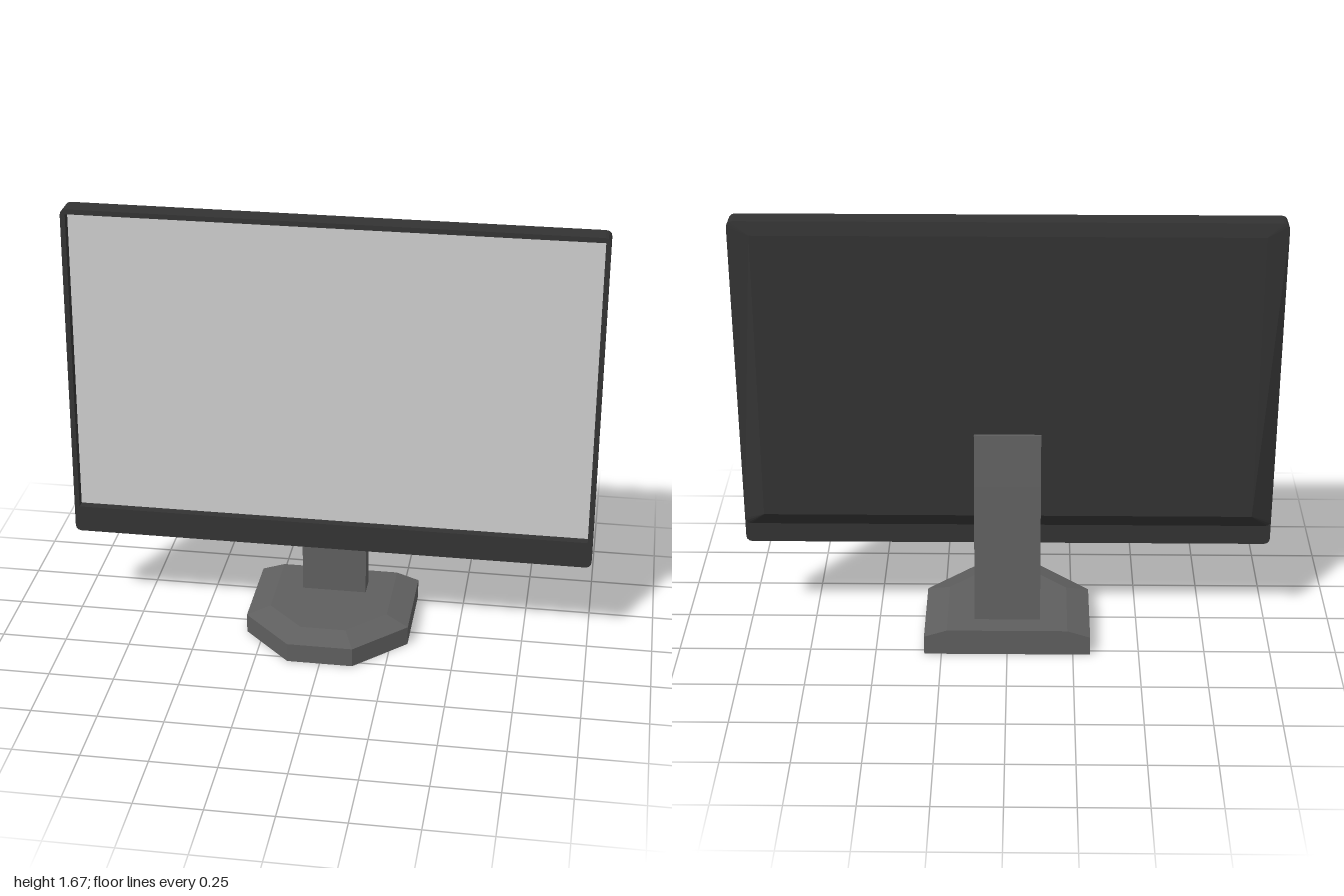
import * as THREE from 'three';

const darkPlastic = new THREE.MeshStandardMaterial({ color: 0x333333, flatShading: true });
const greyPlastic = new THREE.MeshStandardMaterial({ color: 0x5f5f5f, flatShading: true });
const screenGrey = new THREE.MeshStandardMaterial({ color: 0xcccccc, flatShading: true });

// Skins rings of equal length; rings run counter-clockwise seen from the first ring's side.
function loft(name, rings, material, capFirst = true, capLast = true) {
  const n = rings[0].length;
  const index = [];
  for (let r = 0; r < rings.length - 1; r++) {
    for (let i = 0; i < n; i++) {
      const j = (i + 1) % n;
      const a = r * n + i, b = r * n + j, c = a + n, d = b + n;
      index.push(a, c, d, a, d, b);
    }
  }
  const last = (rings.length - 1) * n;
  for (let i = 1; i < n - 1; i++) {
    if (capFirst) index.push(0, i, i + 1);
    if (capLast) index.push(last, last + i + 1, last + i);
  }
  const indexed = new THREE.BufferGeometry();
  indexed.setAttribute('position', new THREE.Float32BufferAttribute(rings.flat(2), 3));
  indexed.setIndex(index);
  const geometry = indexed.toNonIndexed();
  geometry.computeVertexNormals();
  const mesh = new THREE.Mesh(geometry, material);
  mesh.name = name;
  return mesh;
}

// Rounded rectangle facing +z, with its depth given as a function of height.
function frameRing(halfWidth, y0, y1, radius, depth) {
  const ring = [];
  const corners = [[1, y1 - radius], [-1, y1 - radius], [-1, y0 + radius], [1, y0 + radius]];
  corners.forEach(([side, cy], k) => {
    for (let s = 0; s <= 3; s++) {
      const angle = (k + s / 3) * Math.PI / 2;
      const x = side * (halfWidth - radius) + radius * Math.cos(angle);
      const y = cy + radius * Math.sin(angle);
      ring.push([x, y, depth(y)]);
    }
  });
  return ring;
}

// Base outline: square at the back, chamfered at the front.
function baseRing(y, halfWidth, shoulderZ, noseHalf, frontZ) {
  const back = -0.277;
  return [
    [halfWidth, y, back], [-halfWidth, y, back], [-halfWidth, y, shoulderZ],
    [-noseHalf, y, frontZ], [noseHalf, y, frontZ], [halfWidth, y, shoulderZ],
  ];
}

function neckRing(y, backZ) {
  const w = 0.125, front = -0.103;
  return [[w, y, backZ], [-w, y, backZ], [-w, y, front], [w, y, front]];
}

export function createModel() {
  const model = new THREE.Group();
  model.name = 'monitor';

  // The display leans back slightly
  const front = (y) => 0.024 - 0.0267 * (y - 0.361);
  const recess = (y) => front(y) - 0.033;
  const rear = (y) => -0.053 - 0.0295 * (y - 0.361);
  const flatBack = () => -0.104;

  const screenRing = frameRing(0.981, 0.465, 1.656, 0.001, recess);
  model.add(loft('screen', [screenRing], screenGrey, true, false));

  // Bezel, rim and bevelled back cover
  model.add(loft('housing', [
    screenRing,
    frameRing(0.981, 0.465, 1.656, 0.001, front),
    frameRing(1, 0.361, 1.675, 0.022, front),
    frameRing(1, 0.361, 1.675, 0.022, rear),
    frameRing(1, 0.44, 1.675, 0.022, rear),
    frameRing(0.92, 0.505, 1.625, 0.001, flatBack),
  ], darkPlastic, false, true));

  // Tapered neck behind the display
  model.add(loft('neck', [
    neckRing(0.845, -0.115), neckRing(0.645, -0.139), neckRing(0.1, -0.193),
  ], greyPlastic));

  // Foot with sloping front and sides
  model.add(loft('base', [
    baseRing(0.103, 0.228, 0.05, 0.087, 0.19),
    baseRing(0.075, 0.315, 0.087, 0.125, 0.277),
    baseRing(0, 0.315, 0.087, 0.125, 0.277),
  ], greyPlastic));

  return model;
}
